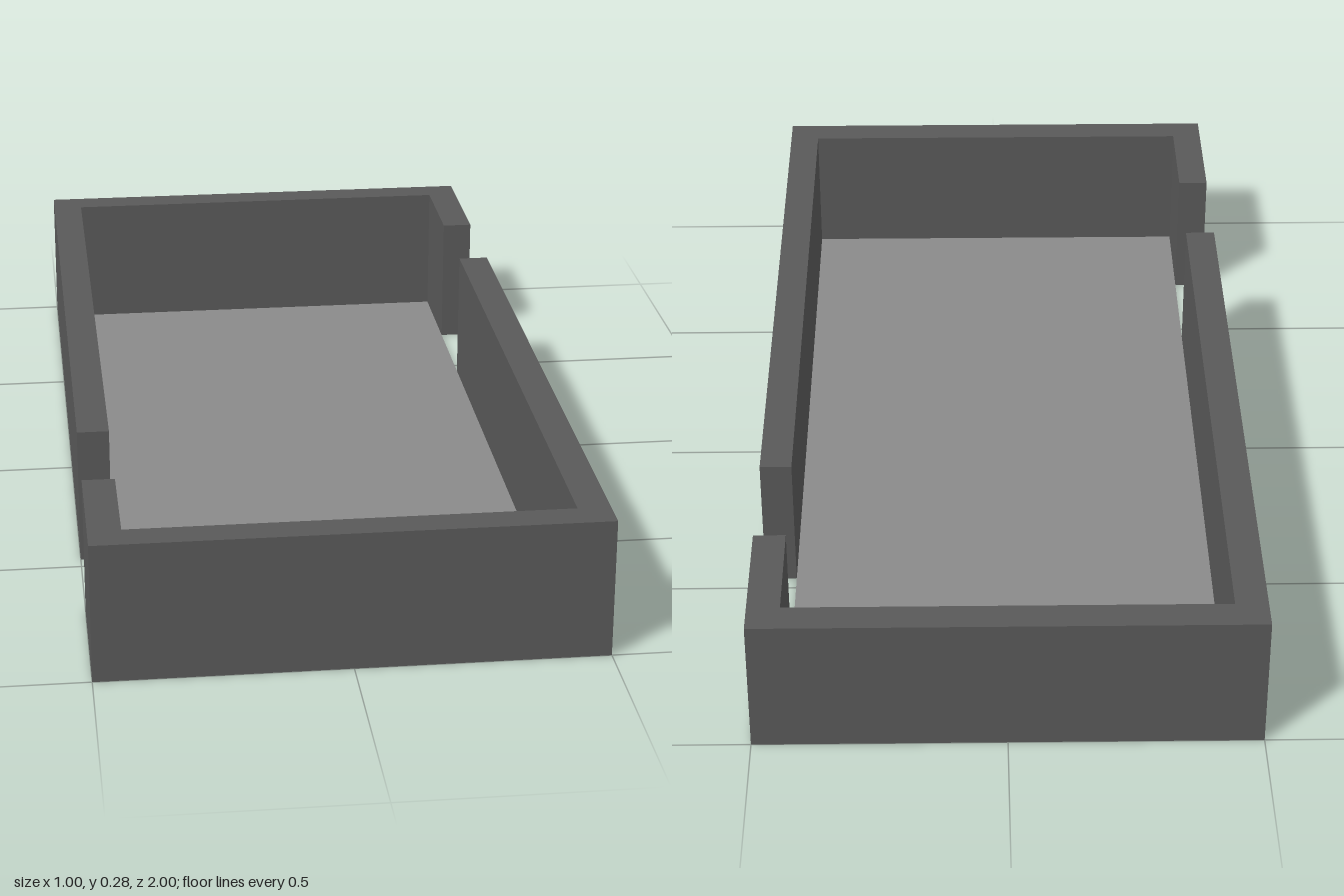
import * as THREE from 'three';

const HEIGHT = 0.285, WALL = 0.065;
const HALF_X = 0.5, HALF_Z = 1;
const GAP_NEAR = 0.467, GAP_FAR = 0.702; // doorway extent along z

// Hollow, bottomless wall run: one C-shaped outline raised to full height
function wallGeometry() {
  const ix = HALF_X - WALL, iz = HALF_Z - WALL;
  const outline = [
    [HALF_X, -GAP_NEAR], [HALF_X, HALF_Z], [-HALF_X, HALF_Z], [-HALF_X, GAP_FAR],
    [-ix, GAP_FAR], [-ix, iz], [ix, iz], [ix, -GAP_NEAR],
  ];
  const shape = new THREE.Shape(outline.map(([x, z]) => new THREE.Vector2(x, -z)));
  const solid = new THREE.ExtrudeGeometry(shape, { depth: HEIGHT, bevelEnabled: false });
  solid.rotateX(-Math.PI / 2);
  // The bottom cap comes first; leave it out
  const skip = (outline.length - 2) * 3;
  const shell = new THREE.BufferGeometry();
  for (const name of ['position', 'normal', 'uv']) {
    const a = solid.getAttribute(name);
    shell.setAttribute(name, new THREE.BufferAttribute(a.array.slice(skip * a.itemSize), a.itemSize));
  }
  return shell;
}

export function createModel() {
  const wallGrey = new THREE.MeshStandardMaterial({ color: 0x595959, side: THREE.DoubleSide });
  wallGrey.name = 'wall dark grey';
  const floorGrey = new THREE.MeshStandardMaterial({ color: 0x8a8a8a, side: THREE.DoubleSide });
  floorGrey.name = 'floor grey';

  const room = new THREE.Group();
  room.name = 'room';

  // Two identical wall runs, half a turn apart, leave two doorways
  const geometry = wallGeometry();
  ['frontWalls', 'backWalls'].forEach((name, i) => {
    const walls = new THREE.Mesh(geometry, wallGrey);
    walls.name = name;
    walls.rotation.y = i * Math.PI;
    room.add(walls);
  });

  // Thin floor of 4 by 8 tiles between the walls
  const floorPlane = new THREE.PlaneGeometry(2 * (HALF_X - WALL), 2 * (HALF_Z - WALL), 4, 8);
  floorPlane.rotateX(-Math.PI / 2);
  const floor = new THREE.Mesh(floorPlane, floorGrey);
  floor.name = 'floor';
  room.add(floor);

  return room;
}
